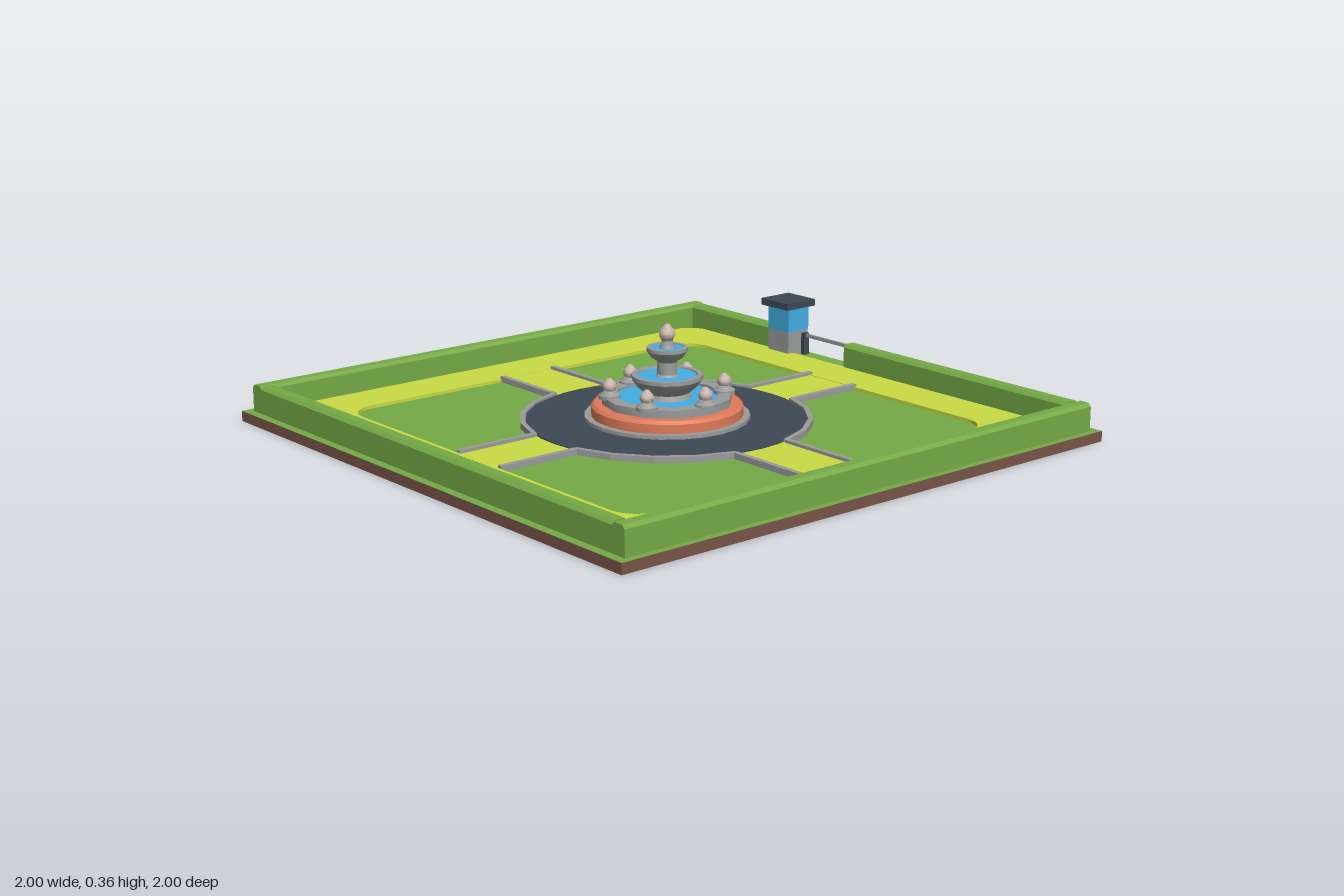
import * as THREE from 'three';
import { toCreasedNormals } from 'three/addons/utils/BufferGeometryUtils.js';

const paint = (name, color) => {
  const m = new THREE.MeshStandardMaterial({ color });
  m.name = name;
  return m;
};

export function createModel() {
  const grass = paint('grass green', 0x76aa46);
  const lime = paint('path lime', 0xcadb44);
  const soil = paint('soil brown', 0x79544a);
  const slate = paint('slate', 0x3e4853);
  const stone = paint('stone grey', 0x9a9b9b);
  const pale = paint('pale stone', 0xc9b2ac);
  const clay = paint('terracotta', 0xdf7a5a);
  const water = paint('water blue', 0x42aee2);

  const model = new THREE.Group();
  model.name = 'gardenSquare';

  const add = (name, geo, mat, x = 0, y = 0, z = 0, parent = model) => {
    const mesh = new THREE.Mesh(geo, mat);
    mesh.name = name;
    mesh.position.set(x, y, z);
    parent.add(mesh);
    return mesh;
  };
  // Box given by its lower and upper limits
  const block = (name, mat, x0, x1, y0, y1, z0, z1, parent) =>
    add(name, new THREE.BoxGeometry(x1 - x0, y1 - y0, z1 - z0), mat,
      (x0 + x1) / 2, (y0 + y1) / 2, (z0 + z1) / 2, parent);
  const lathe = (name, mat, pts, segments, parent) =>
    add(name, toCreasedNormals(new THREE.LatheGeometry(
      pts.map(p => new THREE.Vector2(...p)), segments), 0.6), mat, 0, 0, 0, parent);
  // Flat shape drawn in x,z and extruded upwards
  const slab = (shape, height) => new THREE.ExtrudeGeometry(shape,
    { depth: height, bevelEnabled: false, curveSegments: 8 })
    .rotateX(-Math.PI / 2);
  const roundedRect = (Type, x0, x1, z0, z1, r) => {
    const s = new Type();
    s.absarc(x1 - r, z1 - r, r, 0, Math.PI / 2);
    s.absarc(x0 + r, z1 - r, r, Math.PI / 2, Math.PI);
    s.absarc(x0 + r, z0 + r, r, Math.PI, Math.PI * 1.5);
    s.absarc(x1 - r, z0 + r, r, Math.PI * 1.5, Math.PI * 2);
    s.closePath();
    return s;
  };

  // Ground sheet: brown rim, green above and below
  block('groundPlate', [soil, soil, grass, grass, soil, soil], -1, 0.993, 0.029, 0.035, -1, 0.998);

  // Hollow skirt below the sheet
  for (const [x0, x1, z0, z1] of [[-1, 0.993, -1, -0.992], [-1, 0.993, 0.99, 0.998],
    [-1, -0.992, -0.992, 0.99], [0.985, 0.993, -0.992, 0.99]]) {
    block('groundSkirt', soil, x0, x1, 0, 0.029, z0, z1);
  }

  // Perimeter path with its lower lip, and the cross of paths
  const ring = roundedRect(THREE.Shape, -0.92, 0.91, -0.925, 0.925, 0.1);
  ring.holes.push(roundedRect(THREE.Path, -0.755, 0.74, -0.745, 0.745, 0.1));
  add('perimeterPath', slab(ring, 0.012), lime, 0, 0.034, 0);
  const lip = roundedRect(THREE.Shape, -0.762, 0.747, -0.752, 0.752, 0.1);
  lip.holes.push(roundedRect(THREE.Path, -0.755, 0.74, -0.745, 0.745, 0.1));
  add('pathLip', slab(lip, 0.014), lime, 0, 0.018, 0);
  const cx = -0.003, cz = 0.003;
  block('pathAlongZ', lime, cx - 0.105, cx + 0.105, 0.034, 0.045, -0.746, 0.746);
  block('pathAlongX', lime, -0.756, 0.741, 0.034, 0.0445, cz - 0.105, cz + 0.105);

  // Round plaza
  add('plaza', new THREE.CylinderGeometry(0.463, 0.463, 0.016, 40), slate, cx, 0.04, cz);

  // Kerbs: one arc and two straight runs per quarter
  const a0 = Math.asin(0.105 / 0.475);
  for (let q = 0; q < 4; q++) {
    const quarter = new THREE.Group();
    quarter.name = 'kerbQuarter';
    quarter.position.set(cx, 0, cz);
    quarter.rotation.y = q * Math.PI / 2;
    model.add(quarter);
    const arc = new THREE.Shape();
    const steps = 4;
    for (let i = 0; i <= steps * 2 + 1; i++) {
      const outer = i <= steps;
      const t = outer ? i : steps * 2 + 1 - i;
      const a = a0 + (Math.PI / 2 - 2 * a0) * t / steps;
      const r = outer ? 0.48 : 0.463;
      arc[i ? 'lineTo' : 'moveTo'](Math.cos(a) * r, Math.sin(a) * r);
    }
    arc.closePath();
    add('kerbArc', slab(arc, 0.021), stone, 0, 0.034, 0, quarter);
    block('kerbRun', stone, 0.46, 0.753, 0.034, 0.055, -0.118, -0.1, quarter);
    block('kerbRun', stone, 0.1, 0.118, 0.034, 0.055, -0.753, -0.46, quarter);
  }

  // Hedge with chamfered top; runs along local z
  const hedge = (name, length, x, z, turned) => {
    const w = 0.0275, c = 0.011, h = 0.094;
    const s = new THREE.Shape([[-w, 0], [w, 0], [w, h - c], [w - c, h], [c - w, h], [-w, h - c]]
      .map(p => new THREE.Vector2(...p)));
    const g = new THREE.ExtrudeGeometry(s, { depth: length, bevelEnabled: false })
      .translate(0, 0, -length / 2);
    add(name, g, grass, x, 0.034, z).rotation.y = turned ? Math.PI / 2 : 0;
  };
  hedge('hedgeBack', 1.93, -0.005, -0.945, true);
  hedge('hedgeFront', 1.93, -0.005, 0.947, true);
  hedge('hedgeRight', 1.84, -0.9425, 0, false);
  hedge('hedgeLeftFront', 1.02, 0.9325, 0.41, false);
  hedge('hedgeLeftBack', 0.45, 0.9325, -0.695, false);

  // Fountain
  const fountain = new THREE.Group();
  fountain.name = 'fountain';
  fountain.position.x = 0.003;
  model.add(fountain);
  lathe('fountainStep', stone, [[0.272, 0.04], [0.272, 0.06], [0.2, 0.06]], 24, fountain);
  lathe('terracottaBand', clay, [[0.25, 0.059], [0.25, 0.09], [0.24, 0.1], [0.17, 0.1]], 24, fountain);
  lathe('poolRim', stone, [[0.215, 0.098], [0.215, 0.126], [0.172, 0.126], [0.172, 0.1]], 12, fountain);
  add('poolWater', new THREE.CylinderGeometry(0.178, 0.178, 0.02, 12), water, 0, 0.108, 0, fountain);
  lathe('lowerBowl', stone, [[0.085, 0.11], [0.075, 0.135], [0.1, 0.155], [0.118, 0.18], [0.118, 0.193],
    [0.1, 0.193], [0.095, 0.175]], 16, fountain);
  add('lowerBowlWater', new THREE.CylinderGeometry(0.1, 0.1, 0.008, 16), water, 0, 0.184, 0, fountain);
  lathe('stem', stone, [[0.045, 0.18], [0.033, 0.195], [0.032, 0.235], [0.04, 0.245]], 16, fountain);
  lathe('upperBowl', stone, [[0.03, 0.236], [0.052, 0.25], [0.068, 0.272], [0.068, 0.284],
    [0.055, 0.284], [0.052, 0.272]], 16, fountain);
  add('upperBowlWater', new THREE.CylinderGeometry(0.056, 0.056, 0.006, 16), water, 0, 0.278, 0, fountain);
  lathe('topPedestal', stone, [[0.03, 0.276], [0.023, 0.29], [0.019, 0.305], [0.022, 0.312]], 12, fountain);
  lathe('topFinial', pale, [[0.016, 0.308], [0.024, 0.316], [0.027, 0.328], [0.023, 0.34], [0.014, 0.35],
    [0.009, 0.358], [0, 0.361]], 12, fountain);

  // Six finials round the pool
  for (let i = 0; i < 6; i++) {
    const a = Math.PI / 6 + i * Math.PI / 3;
    const finial = new THREE.Group();
    finial.name = 'rimFinial';
    finial.position.set(Math.cos(a) * 0.19, 0, Math.sin(a) * 0.19);
    fountain.add(finial);
    lathe('finialBase', stone, [[0.036, 0.12], [0.036, 0.132], [0.024, 0.139], [0.016, 0.15]], 12, finial);
    lathe('finialBall', pale, [[0.014, 0.143], [0.021, 0.15], [0.024, 0.16], [0.021, 0.17], [0.013, 0.179],
      [0.007, 0.186], [0, 0.188]], 12, finial);
  }

  // Gate booth
  const booth = new THREE.Group();
  booth.name = 'gateBooth';
  model.add(booth);
  block('boothBody', stone, 0.885, 0.98, 0.034, 0.211, -0.47, -0.365, booth);
  block('boothRoof', slate, 0.865, 1, 0.211, 0.235, -0.49, -0.35, booth);
  block('frontWindow', water, 0.885, 0.98, 0.125, 0.211, -0.366, -0.362, booth);
  block('leftWindow', water, 0.979, 0.982, 0.135, 0.211, -0.469, -0.363, booth);
  block('rightWindow', water, 0.882, 0.886, 0.125, 0.211, -0.469, -0.363, booth);

  // Barrier
  block('barrierPost', slate, 0.948, 0.972, 0.034, 0.115, -0.364, -0.348);
  block('barrierArm', stone, 0.956, 0.966, 0.1, 0.112, -0.355, -0.1);

  return model;
}
